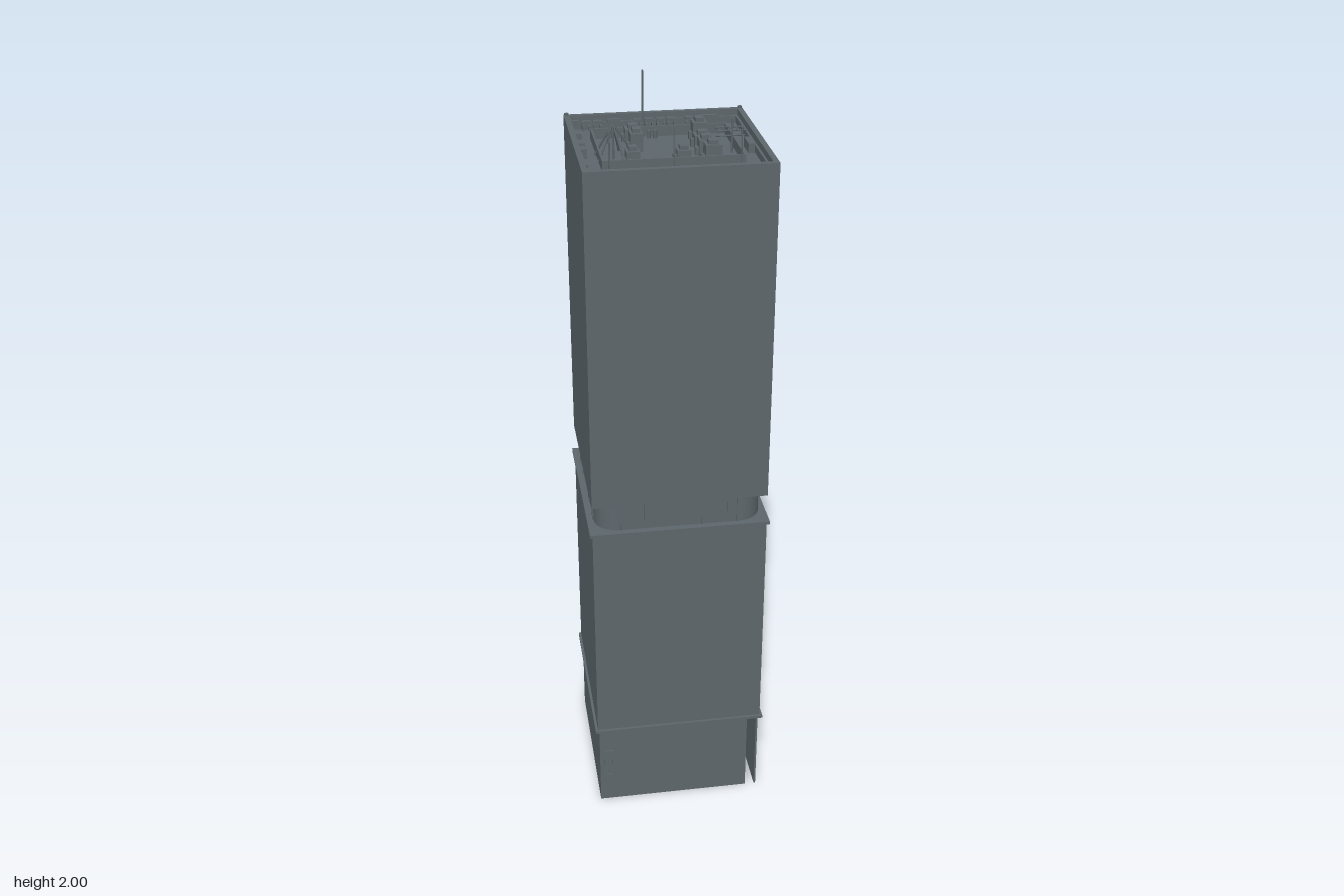
import * as THREE from 'three';

export function createModel() {
  const tower = new THREE.Group();
  tower.name = 'officeTower';
  const slate = new THREE.MeshStandardMaterial({ color: 0x5d676c });
  slate.name = 'slateGrey';

  const add = (name, geo, x = 0, y = 0, z = 0) => {
    const m = new THREE.Mesh(geo, slate);
    m.name = name;
    m.position.set(x, y, z);
    tower.add(m);
    return m;
  };
  // box given by its centre in plan and its bottom and top heights
  const block = (name, w, d, y0, y1, x = 0, z = 0) =>
    add(name, new THREE.BoxGeometry(w, y1 - y0, d), x, (y0 + y1) / 2, z);
  const pole = (name, x, z, y0, y1, r) =>
    add(name, new THREE.CylinderGeometry(r, r, y1 - y0, 6), x, (y0 + y1) / 2, z);
  const rod = (name, a, b, r) => {
    const p = new THREE.Vector3(...a), q = new THREE.Vector3(...b);
    const m = add(name, new THREE.CylinderGeometry(r, r, p.distanceTo(q), 6));
    m.position.copy(p).lerp(q, 0.5);
    m.quaternion.setFromUnitVectors(new THREE.Vector3(0, 1, 0), q.sub(p).normalize());
    return m;
  };
  // square with rounded corners, extruded upward
  const roundedSquare = (h, r, y0, y1, name) => {
    const s = new THREE.Shape(), c = h - r;
    s.absarc(c, c, r, 0, Math.PI / 2);
    s.absarc(-c, c, r, Math.PI / 2, Math.PI);
    s.absarc(-c, -c, r, Math.PI, Math.PI * 1.5);
    s.absarc(c, -c, r, Math.PI * 1.5, Math.PI * 2);
    const g = new THREE.ExtrudeGeometry(s, { depth: y1 - y0, bevelEnabled: false, curveSegments: 8 });
    g.rotateX(-Math.PI / 2);
    return add(name, g, 0, y0, 0);
  };
  // rectangular ring of four walls
  const ring = (name, x0, x1, z0, z1, t, y0, y1) => {
    const cx = (x0 + x1) / 2, cz = (z0 + z1) / 2;
    for (const z of [z0 + t / 2, z1 - t / 2]) block(name, x1 - x0, t, y0, y1, cx, z);
    for (const x of [x0 + t / 2, x1 - t / 2]) block(name, t, z1 - z0 - 2 * t, y0, y1, x, cz);
  };

  // hollow podium, open below, with a tall slot beside the front corner
  const P = 0.228, T = 0.005;
  block('podiumBackWall', 2 * P, T, 0, 0.25, 0, -P + T / 2);
  for (const s of [-1, 1]) block('podiumSideWall', T, 2 * P - T, 0, 0.25, s * (P - T / 2), T / 2);
  block('podiumFrontWall', 0.42, T, 0, 0.25, -0.013, P - T / 2);

  // shafts and ledges
  block('podiumLedge', 0.478, 0.478, 0.25, 0.258);
  block('lowerShaft', 0.464, 0.464, 0.258, 0.9);
  block('middleLedge', 0.478, 0.478, 0.9, 0.908);
  roundedSquare(0.221, 0.06, 0.908, 0.985, 'recessedFloor');
  block('upperShaft', 0.464, 0.464, 0.985, 1.85);

  // slim ribs around the recessed floor
  for (let side = 0; side < 4; side++) {
    for (const u of [-0.155, -0.09, 0.06, 0.13, 0.155]) {
      const a = side * Math.PI / 2;
      const rib = block('recessRib', 0.005, 0.006, 0.908, 0.985,
        u * Math.cos(a) + 0.221 * Math.sin(a), -u * Math.sin(a) + 0.221 * Math.cos(a));
      rib.rotation.y = a;
    }
  }

  // shallow frames on the podium walls
  const frame = (face, u0, u1, y0, y1) => {
    const g = new THREE.Group(), w = u1 - u0, h = y1 - y0, t = 0.004;
    g.name = 'doorFrame';
    const bars = [[w, t, 0, h / 2], [w, t, 0, -h / 2], [t, h, -w / 2, 0], [t, h, w / 2, 0]];
    for (const [bw, bh, x, y] of bars) {
      const m = new THREE.Mesh(new THREE.BoxGeometry(bw, bh, 0.004), slate);
      m.name = 'frameBar';
      m.position.set((u0 + u1) / 2 + x, (y0 + y1) / 2 + y, P + 0.001);
      g.add(m);
    }
    g.rotation.y = face * Math.PI / 2;
    tower.add(g);
  };
  frame(0, -0.213, -0.19, 0.09, 0.175);
  frame(1, -0.175, -0.14, 0.06, 0.175);
  frame(1, -0.095, -0.045, 0.07, 0.24);
  frame(1, -0.065, 0.01, 0.065, 0.175);
  frame(1, 0.095, 0.135, 0.06, 0.2);
  frame(1, -0.09, 0.14, 0.03, 0.055);
  frame(2, -0.12, 0.09, 0.03, 0.07);
  frame(2, 0.12, 0.145, 0.03, 0.09);

  // parapet, gutter step and the inner plant enclosure
  ring('parapet', -0.232, 0.232, -0.232, 0.232, 0.014, 1.85, 1.885);
  ring('gutterStep', -0.218, 0.218, -0.218, 0.218, 0.006, 1.85, 1.868);
  ring('plantWall', -0.175, 0.172, -0.132, 0.13, 0.005, 1.85, 1.876);
  for (const s of [-1, 1]) pole('cornerStud', s * 0.225, -0.225, 1.88, 1.89, 0.006);

  // cooling units: x, z, width, depth, top
  const units = [
    [-0.073, -0.095, 0.04, 0.038, 1.895], [-0.073, -0.027, 0.032, 0.042, 1.905],
    [0.095, -0.095, 0.036, 0.04, 1.905], [0.093, -0.033, 0.042, 0.034, 1.89],
    [0.087, 0.034, 0.03, 0.034, 1.9], [0.027, 0.086, 0.034, 0.036, 1.893],
    [0.097, 0.092, 0.04, 0.036, 1.905], [-0.097, 0.092, 0.034, 0.036, 1.898],
  ];
  for (const [x, z, w, d, top] of units) {
    block('coolingUnit', w, d, 1.85, top - 0.01, x, z);
    block('coolingUnitCap', w * 0.6, d * 0.6, top - 0.01, top, x, z);
    block('unitDuct', 0.008, 0.014, 1.85, 1.87, x - w / 2 - 0.004, z);
  }
  for (const x of [-0.028, -0.012]) pole('ventPipe', x, -0.115, 1.85, 1.87, 0.006);

  // low cabinets along the parapet: x, z, width, depth
  const cabinets = [
    [-0.205, -0.215, 0.02, 0.012], [-0.105, -0.215, 0.034, 0.012], [0.14, -0.215, 0.05, 0.012],
    [-0.207, -0.117, 0.016, 0.038], [-0.207, -0.035, 0.016, 0.03], [-0.207, 0.014, 0.016, 0.026],
    [0.203, 0.015, 0.016, 0.058], [-0.207, 0.19, 0.016, 0.024], [-0.183, 0.208, 0.03, 0.014],
    [-0.08, 0.208, 0.032, 0.014], [-0.022, 0.208, 0.045, 0.014], [0.022, 0.208, 0.034, 0.014],
    [0.137, 0.208, 0.054, 0.014],
  ];
  for (const [x, z, w, d] of cabinets) block('roofCabinet', w, d, 1.85, 1.874, x, z);
  for (const x of [-0.177, -0.148, -0.045, -0.015, 0.015, 0.042, 0.09, 0.115]) {
    block('ventBox', 0.022, 0.014, 1.85, 1.872, x, -0.212);
    for (const s of [-1, 1]) block('ventLeg', 0.005, 0.012, 1.85, 1.864, x + s * 0.008, -0.2);
  }

  // guyed mast
  const top = [-0.137, 1.938, 0.038];
  for (const [x, z] of [[-0.18, 0.015], [-0.118, -0.01], [-0.08, 0.045], [-0.115, 0.07], [-0.175, 0.065]])
    rod('mastLeg', top, [x, 1.855, z], 0.0025);
  pole('mast', top[0], top[2], 1.85, 1.94, 0.003);

  // ladder aerial
  pole('aerialPost', 0.155, 0.032, 1.85, 1.935, 0.003);
  for (const [y, z] of [[1.91, 0.018], [1.91, 0.046], [1.893, 0.032]])
    rod('aerialBoom', [0.115, y, z], [0.187, y, z], 0.002);
  for (const x of [0.135, 0.15, 0.168]) rod('aerialBar', [x, 1.91, 0.016], [x, 1.91, 0.048], 0.002);

  // whip antennas
  pole('tallAntenna', -0.032, -0.2, 1.85, 2.0, 0.0025);
  pole('frontAntenna', -0.166, 0.205, 1.85, 1.97, 0.0025);
  pole('cornerAntenna', 0.156, 0.153, 1.85, 1.95, 0.002);
  pole('thinAntenna', -0.014, 0.198, 1.85, 1.97, 0.0012);
  pole('shortPost', -0.214, 0.146, 1.85, 1.875, 0.004);

  // loose conduit on the roof deck
  const path = new THREE.CatmullRomCurve3([
    [-0.055, 0.175], [0, 0.175], [0.045, 0.18], [0.072, 0.2], [0.1, 0.208],
  ].map(([x, z]) => new THREE.Vector3(x, 1.853, z)));
  add('conduit', new THREE.TubeGeometry(path, 20, 0.0025, 6));

  return tower;
}
